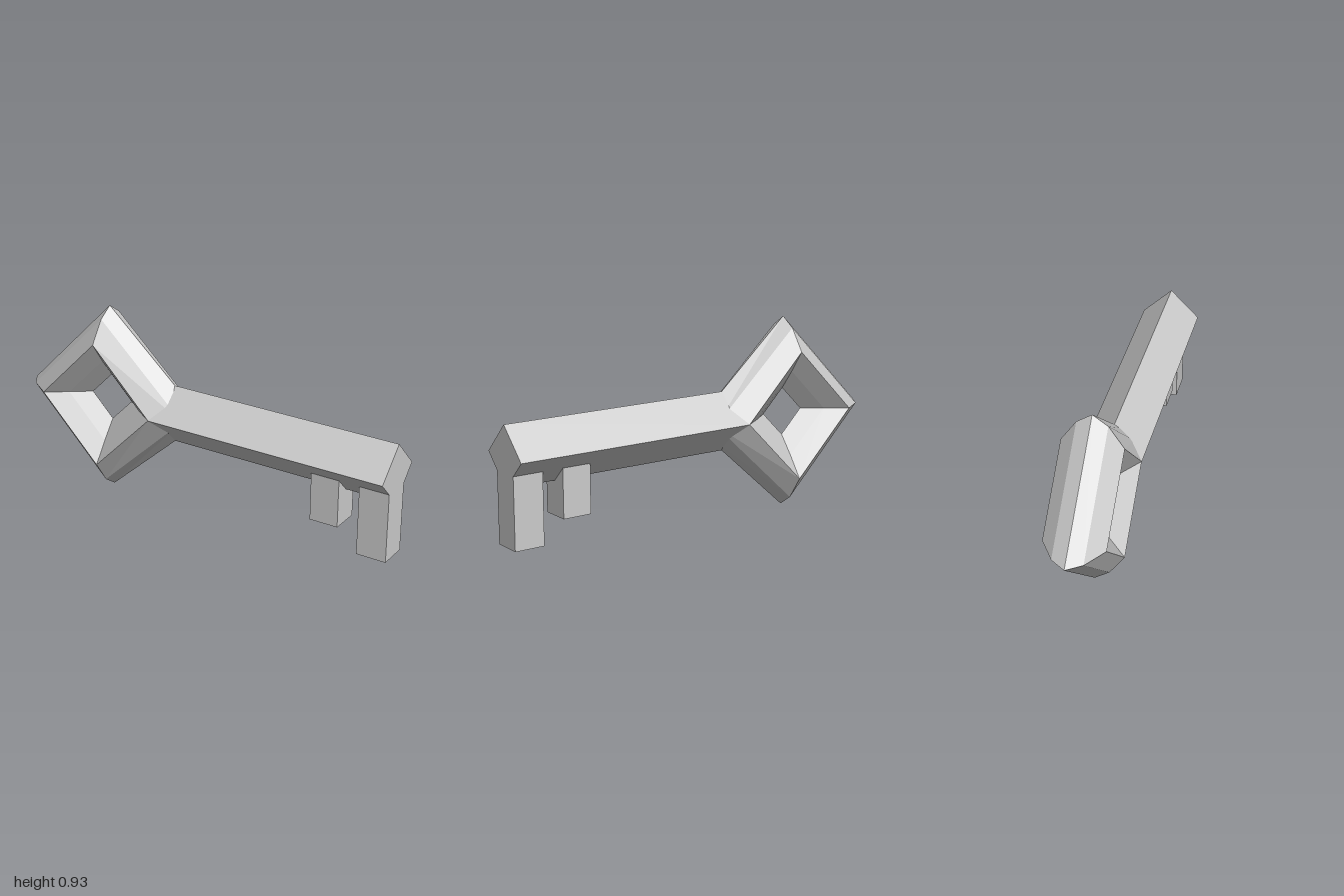
import * as THREE from 'three';

const material = new THREE.MeshStandardMaterial({ color: 0xcccccc, flatShading: true });
const AXIS_Y = 0.468; // height of the shaft axis and the bow centre
const BOW_X = -0.528;

function addPart(group, name, geometry, x, y) {
  const mesh = new THREE.Mesh(geometry, material);
  mesh.name = name;
  mesh.position.set(x, y, 0);
  group.add(mesh);
  return mesh;
}

// Square ring: one faceted cross-section [radius, z] placed at each of four corners
function bowGeometry() {
  const section = [
    [0.466, 0], [0.417, 0.07], [0.31, 0.141], [0.207, 0.07],
    [0.115, 0], [0.207, -0.07], [0.31, -0.141], [0.417, -0.07],
  ];
  const corner = (i, j) => {
    const angle = (i % 4) * Math.PI / 2;
    let [r, z] = section[j % section.length];
    // the corner that runs into the shaft is drawn outwards
    if (i % 4 === 0 && r > 0.4) r += Math.abs(z) > 0 ? 0.035 : 0.062;
    return [r * Math.cos(angle), r * Math.sin(angle), z];
  };
  const positions = [];
  for (let i = 0; i < 4; i++) {
    for (let j = 0; j < section.length; j++) {
      const a = corner(i, j), b = corner(i + 1, j);
      const c = corner(i + 1, j + 1), d = corner(i, j + 1);
      positions.push(...a, ...b, ...c, ...a, ...c, ...d);
    }
  }
  const geometry = new THREE.BufferGeometry();
  geometry.setAttribute('position', new THREE.Float32BufferAttribute(positions, 3));
  geometry.computeVertexNormals();
  return geometry;
}

export function createModel() {
  const key = new THREE.Group();
  key.name = 'key';

  addPart(key, 'bow', bowGeometry(), BOW_X, AXIS_Y);

  // Four-sided shaft standing on its edge
  const start = -0.22, end = 1;
  const shaft = new THREE.CylinderGeometry(0.142, 0.142, end - start, 4).rotateZ(Math.PI / 2);
  addPart(key, 'shaft', shaft, (start + end) / 2, AXIS_Y);

  // Teeth, sunk into the underside of the shaft
  const top = 0.44;
  for (const [name, x0, x1, bottom] of [
    ['innerTooth', 0.615, 0.755, 0.165],
    ['outerTooth', 0.855, 1, 0.062],
  ]) {
    const tooth = new THREE.BoxGeometry(x1 - x0, top - bottom, 0.14);
    addPart(key, name, tooth, (x0 + x1) / 2, (top + bottom) / 2);
  }

  return key;
}
